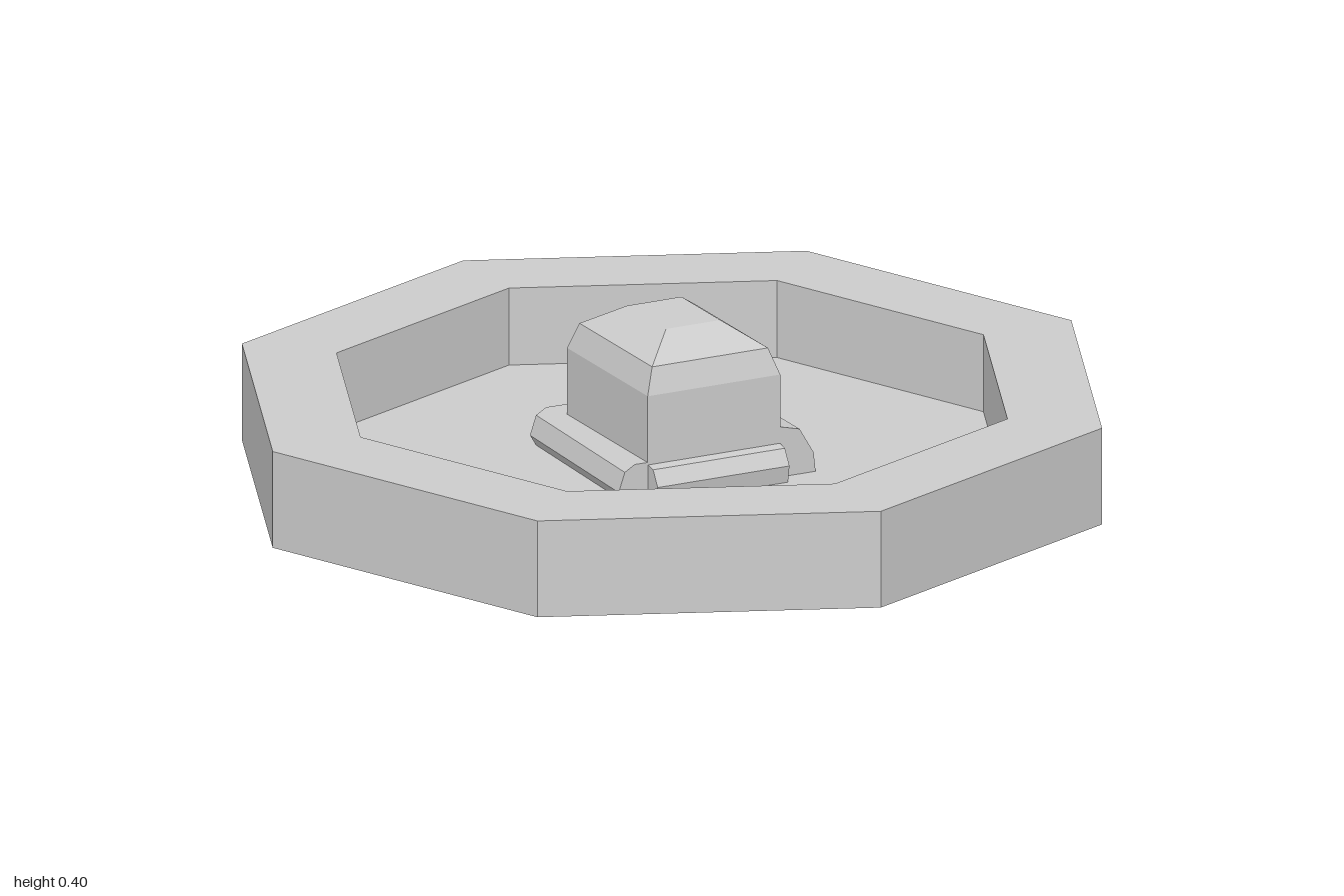
import * as THREE from 'three';

const FLOOR = 0.045;
const material = new THREE.MeshStandardMaterial({ color: 0xcccccc, flatShading: true });

function part(name, geometry) {
  const mesh = new THREE.Mesh(geometry, material);
  mesh.name = name;
  return mesh;
}

// Straight bar: an [outward, up] section swept along local z, then turned about y.
// rise lifts the upper edges gradually towards the far end.
function bar(name, section, length, x, z, turn, rise = 0) {
  const shape = new THREE.Shape(section.map(([a, b]) => new THREE.Vector2(a, b)));
  const geometry = new THREE.ExtrudeGeometry(shape, { depth: length, bevelEnabled: false });
  const pos = geometry.attributes.position;
  for (let i = 0; i < pos.count; i++) {
    if (pos.getY(i) > 0.1) pos.setY(i, pos.getY(i) + rise * pos.getZ(i) / length);
  }
  geometry.computeVertexNormals();
  const mesh = part(name, geometry);
  mesh.position.set(x, 0, z);
  mesh.rotation.y = turn;
  return mesh;
}

// Central block: rectangular levels narrowing to a small flat top
function blockGeometry() {
  const levels = [
    [FLOOR, 0.166, 0.193],
    [0.285, 0.166, 0.193],
    [0.345, 0.145, 0.174],
    [0.398, 0.068, 0.093],
  ];
  const geometry = new THREE.BoxGeometry(1, 1, 1, 1, 3, 1);
  const pos = geometry.attributes.position;
  for (let i = 0; i < pos.count; i++) {
    const [y, hx, hz] = levels[Math.round((pos.getY(i) + 0.5) * 3)];
    pos.setXYZ(i, Math.sign(pos.getX(i)) * hx, y, Math.sign(pos.getZ(i)) * hz + 0.008);
  }
  geometry.computeVertexNormals();
  return geometry;
}

export function createModel() {
  const group = new THREE.Group();

  // Eight-sided basin with a thick rim
  const profile = [[0, 0], [1, 0], [1, 0.225], [0.78, 0.225], [0.78, FLOOR], [0, FLOOR]]
    .map(([r, y]) => new THREE.Vector2(r, y));
  group.add(part('basin', new THREE.LatheGeometry(profile, 8)));

  group.add(part('centralBlock', blockGeometry()));

  // Bars lying against the foot of the block
  group.add(bar('frontBar',
    [[-0.03, FLOOR], [0.04, FLOOR], [0.047, 0.085], [0.025, 0.12], [-0.03, 0.13]],
    0.33, 0.165, 0.2, -Math.PI / 2));
  group.add(bar('backBar',
    [[-0.03, FLOOR], [0.066, FLOOR], [0.06, 0.075], [0.012, 0.125], [-0.03, 0.13]],
    0.33, -0.165, -0.185, Math.PI / 2, 0.035));
  group.add(bar('rightBar',
    [[-0.03, FLOOR], [0.055, FLOOR], [0.07, 0.07], [0.055, 0.115], [0.03, 0.13], [-0.03, 0.13]],
    0.45, -0.167, 0.2, Math.PI - 0.029));
  group.add(bar('leftBar',
    [[-0.03, FLOOR], [0.09, FLOOR], [0.085, 0.09], [0.05, 0.15], [-0.03, 0.17]],
    0.2, 0.165, 0, 0));

  // Short ridged stub crossing the left bar
  group.add(bar('leftStub',
    [[-0.08, FLOOR], [0.05, FLOOR], [0.02, 0.175], [0, 0.19], [-0.02, 0.18], [-0.065, 0.09]],
    0.12, 0.255, 0, -Math.PI / 2));

  return group;
}
